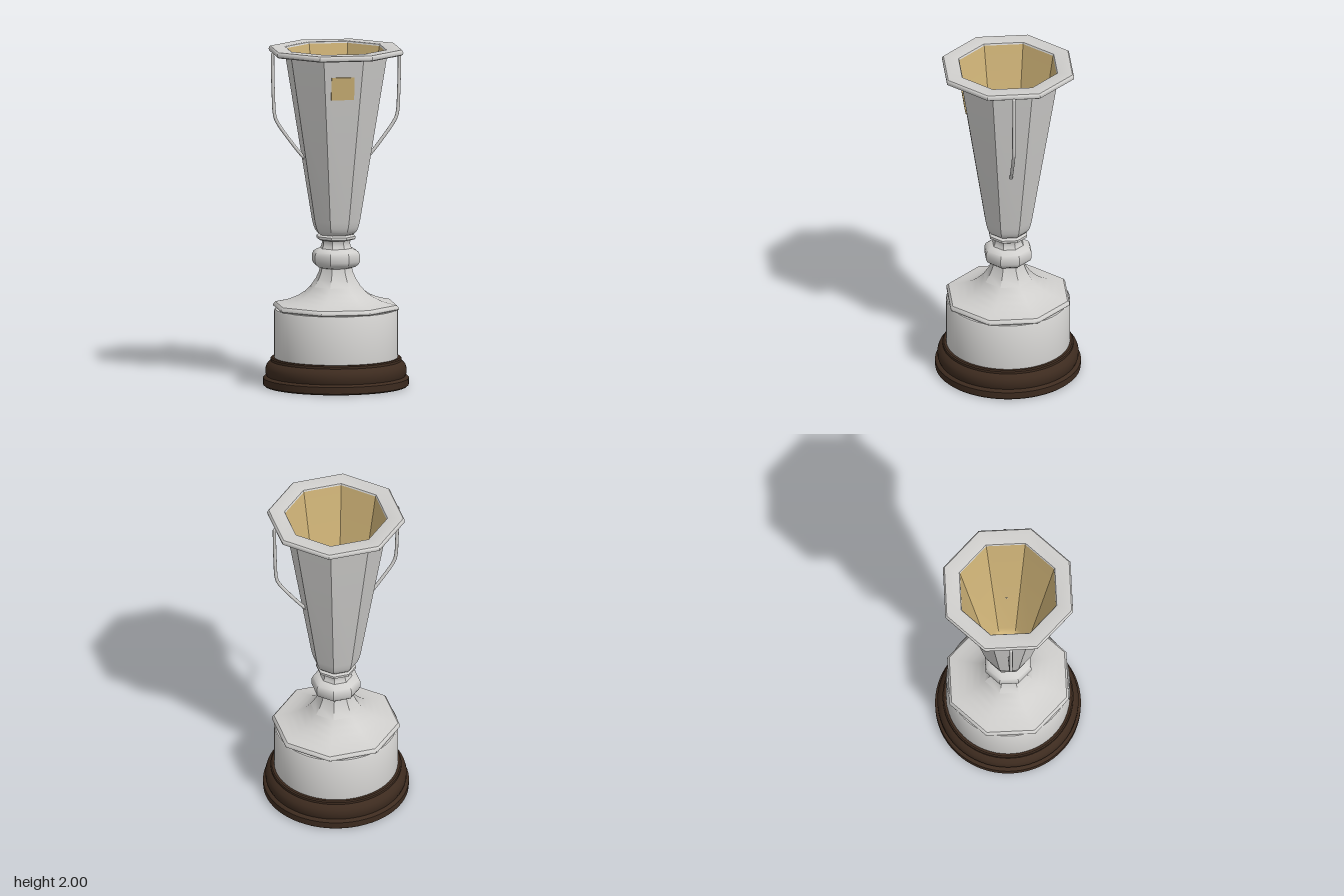
import * as THREE from 'three';
import { toCreasedNormals } from 'three/addons/utils/BufferGeometryUtils.js';

const material = (name, color, side = THREE.FrontSide) => {
  const m = new THREE.MeshStandardMaterial({ color, side });
  m.name = name;
  return m;
};

// Turned profile of [radius, y]; octagons are given by the distance to their flats.
function turned(name, profile, mat, sides = 64) {
  const scale = sides === 8 ? 1 / Math.cos(Math.PI / 8) : 1;
  const points = profile.map(([r, y]) => new THREE.Vector2(r * scale, y));
  const lathe = new THREE.LatheGeometry(points, sides, Math.PI / sides);
  const mesh = new THREE.Mesh(toCreasedNormals(lathe, 0.65), mat);
  mesh.name = name;
  return mesh;
}

export function createModel() {
  const silver = material('silver', 0xd0cfcd);
  const gold = material('gold', 0xd0b478);
  const wood = material('dark wood', 0x3d2b1f);
  const trophy = new THREE.Group();
  trophy.name = 'trophyCup';

  // Round wooden plinth and metal drum
  trophy.add(turned('woodenPlinth', [
    [0, 0], [0.418, 0], [0.427, 0.008], [0.428, 0.048], [0.421, 0.056], [0.407, 0.06],
    [0.414, 0.078], [0.414, 0.105], [0.408, 0.125], [0.394, 0.142], [0.384, 0.15],
    [0.384, 0.164], [0.377, 0.17], [0, 0.17],
  ], wood));
  trophy.add(turned('drum', [
    [0, 0.165], [0.363, 0.165], [0.363, 0.447], [0.357, 0.455], [0, 0.455],
  ], silver));

  // Octagonal foot with flared stem
  trophy.add(turned('foot', [
    [0, 0.456], [0.342, 0.456], [0.35, 0.463], [0.349, 0.474], [0.338, 0.487],
    [0.3, 0.495], [0.255, 0.508], [0.212, 0.528], [0.172, 0.556], [0.138, 0.593],
    [0.112, 0.635], [0.095, 0.675], [0.088, 0.705],
  ], silver, 8));

  // Knob, neck and collar
  trophy.add(turned('stemKnob', [
    [0.088, 0.7], [0.108, 0.707], [0.126, 0.722], [0.134, 0.74], [0.134, 0.776],
    [0.126, 0.795], [0.108, 0.808], [0.088, 0.816], [0.081, 0.83], [0.078, 0.85],
    [0.082, 0.864], [0.1, 0.868], [0.109, 0.874], [0.109, 0.888], [0.1, 0.895], [0.088, 0.897],
  ], silver, 8));

  // Octagonal cup wall and its gilded lining
  trophy.add(turned('cupWall', [
    [0.085, 0.895], [0.103, 0.904], [0.116, 0.92], [0.125, 0.943], [0.134, 0.98], [0.287, 1.975],
  ], silver, 8));
  trophy.add(turned('cupLining', [
    [0.276, 1.988], [0.126, 0.99], [0.116, 0.955], [0.1, 0.938], [0.07, 0.928], [0, 0.925],
  ], gold, 8));

  // Broad bevelled rim
  trophy.add(turned('rim', [
    [0.275, 1.966], [0.364, 1.966], [0.373, 1.972], [0.375, 1.983], [0.373, 1.993],
    [0.366, 2], [0.289, 2], [0.281, 1.997], [0.276, 1.986],
  ], silver, 8));

  // Bent rod handles whose ends pass through the cup wall
  for (const s of [1, -1]) {
    const handle = new THREE.Group();
    handle.name = s > 0 ? 'leftHandle' : 'rightHandle';
    const path = [
      [0.377, 1.968], [0.376, 1.85], [0.372, 1.72], [0.368, 1.635], [0.359, 1.588],
      [0.338, 1.548], [0.28, 1.466], [0.215, 1.382], [0.186, 1.35],
    ].map(([x, y]) => new THREE.Vector3(s * x, y, 0));
    const rod = new THREE.Mesh(
      new THREE.TubeGeometry(new THREE.CatmullRomCurve3(path), 48, 0.01, 10), silver);
    rod.name = 'handleRod';
    handle.add(rod);
    for (const p of [path[0], path[path.length - 1]]) {
      const end = new THREE.Mesh(new THREE.SphereGeometry(0.01, 10, 8), silver);
      end.name = 'handleEnd';
      end.position.copy(p);
      handle.add(end);
    }
    trophy.add(handle);
  }

  // Blank plaque lying on the sloping front face
  const plaque = new THREE.Mesh(new THREE.BoxGeometry(0.136, 0.137, 0.008), gold);
  plaque.name = 'plaque';
  plaque.position.set(-0.002, 1.793, 0.262);
  plaque.rotation.x = Math.atan(0.153);
  trophy.add(plaque);

  return trophy;
}
